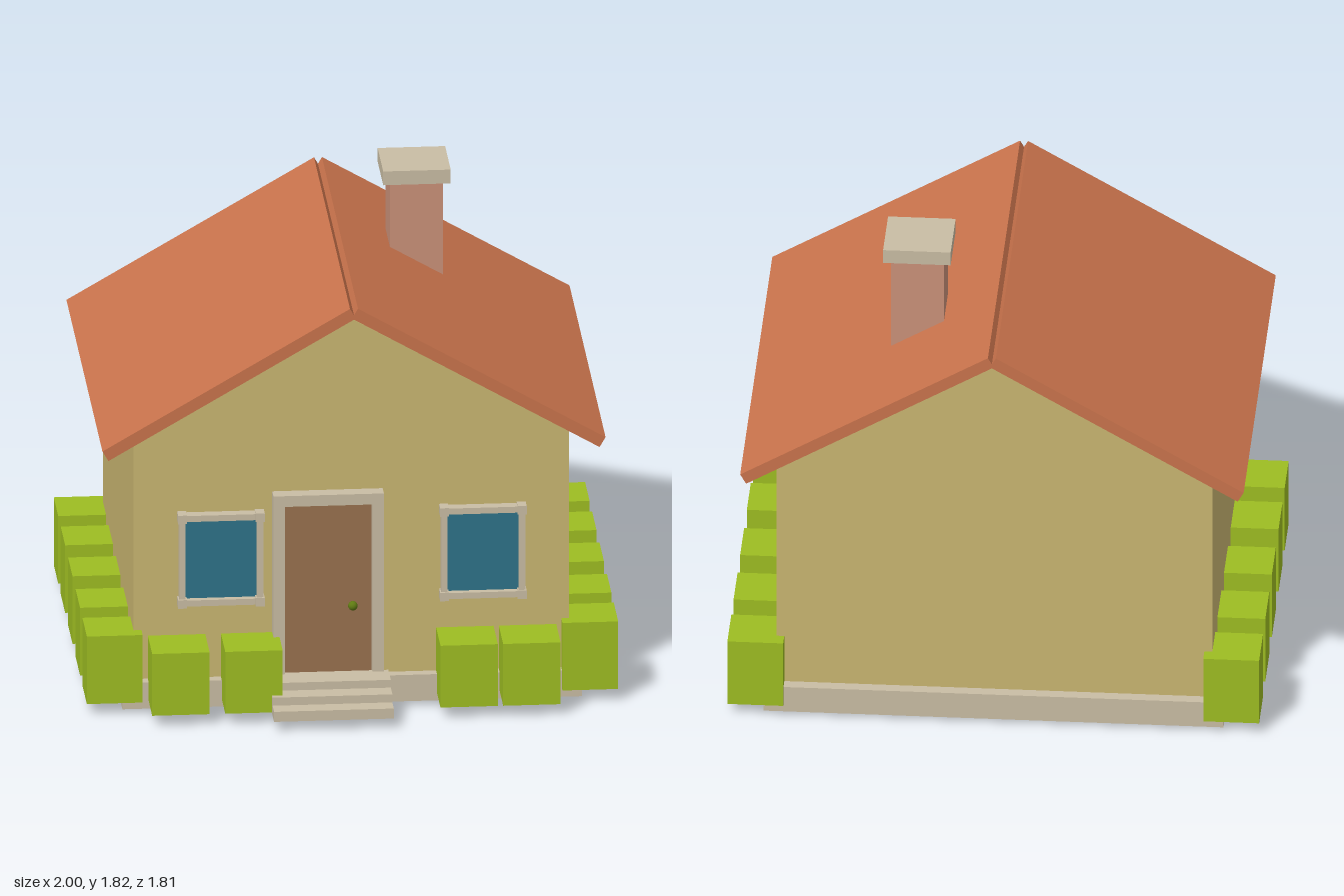
import * as THREE from 'three';

const paint = (name, color) => {
  const m = new THREE.MeshStandardMaterial({ color });
  m.name = name;
  return m;
};

export function createModel() {
  const wallPaint = paint('wall yellow', 0xc9b671);
  const roofPaint = paint('roof terracotta', 0xc9734c);
  const brick = paint('chimney pink', 0xca9179);
  const stone = paint('stone beige', 0xc9bda4);
  const wood = paint('door brown', 0x98714e);
  const glass = paint('window blue', 0x2e7288);
  const leaf = paint('bush green', 0x9dbd22);
  const brass = paint('knob olive', 0x5f7a12);

  const house = new THREE.Group();
  house.name = 'house';

  // Box given by its limits on each axis
  const box = (name, material, [x0, x1], [y0, y1], [z0, z1], parent = house) => {
    const mesh = new THREE.Mesh(new THREE.BoxGeometry(x1 - x0, y1 - y0, z1 - z0), material);
    mesh.position.set((x0 + x1) / 2, (y0 + y1) / 2, (z0 + z1) / 2);
    mesh.name = name;
    parent.add(mesh);
    return mesh;
  };
  const group = (name) => {
    const g = new THREE.Group();
    g.name = name;
    house.add(g);
    return g;
  };

  // Plinth and walls
  box('plinth', stone, [-0.865, 0.865], [0.015, 0.12], [-0.83, 0.655]);
  box('walls', wallPaint, [-0.82, 0.82], [0.012, 1.073], [-0.785, 0.615]);

  // Gable prism on top of the walls
  const triangle = new THREE.Shape([
    new THREE.Vector2(-0.82, 1.073), new THREE.Vector2(0.82, 1.073), new THREE.Vector2(0, 1.535),
  ]);
  const gable = new THREE.Mesh(
    new THREE.ExtrudeGeometry(triangle, { depth: 1.4, bevelEnabled: false }), wallPaint);
  gable.position.z = -0.785;
  gable.name = 'gable';
  house.add(gable);

  // Two roof slabs, each hung from its upper ridge corner
  const pitch = Math.atan2(0.542, 0.932), slabLength = 1.078, slabThickness = 0.045;
  for (const side of [-1, 1]) {
    const slab = new THREE.BoxGeometry(slabLength, slabThickness, 1.645);
    slab.translate(side * slabLength / 2, -slabThickness / 2, 0);
    const roof = new THREE.Mesh(slab, roofPaint);
    roof.position.set(side * 0.015, 1.62, -0.0875);
    roof.rotation.z = -side * pitch;
    roof.name = side < 0 ? 'roofRight' : 'roofLeft';
    house.add(roof);
  }

  // Chimney
  box('chimney', brick, [0.215, 0.415], [1.25, 1.765], [-0.44, -0.235]);
  box('chimneyCap', stone, [0.188, 0.442], [1.76, 1.815], [-0.465, -0.21]);

  // Door, its frame and knob
  box('door', wood, [-0.257, 0.075], [0.12, 0.812], [0.6, 0.632]);
  const frame = group('doorFrame');
  box('doorPostRight', stone, [-0.298, -0.255], [0, 0.855], [0.61, 0.672], frame);
  box('doorPostLeft', stone, [0.075, 0.118], [0, 0.855], [0.61, 0.672], frame);
  box('doorLintel', stone, [-0.255, 0.075], [0.812, 0.855], [0.61, 0.672], frame);
  const knob = new THREE.Mesh(new THREE.SphereGeometry(0.018, 16, 12), brass);
  knob.position.set(0.003, 0.4, 0.647);
  knob.name = 'doorKnob';
  house.add(knob);

  // Three front steps
  const steps = group('steps');
  [[0.08, 0.905], [0.112, 0.838], [0.143, 0.765]].forEach(([top, front], i) =>
    box('step' + (i + 1), stone, [-0.315, 0.136], [i ? top - 0.035 : 0.04, top],
      [i === 0 ? 0.71 : 0.655, front], steps));

  // Front windows: pane, four bars and corner blocks
  for (const side of [-1, 1]) {
    const win = group(side < 0 ? 'windowRight' : 'windowLeft');
    const cx = side * 0.493, cy = 0.6, w = 0.146, h = 0.169;
    box('pane', glass, [cx - w, cx + w], [cy - h, cy + h], [0.61, 0.632], win);
    for (const s of [-1, 1]) {
      const bx = cx + s * w, by = cy + s * h;
      box('upright', stone, [bx - 0.012, bx + 0.012], [cy - h, cy + h], [0.61, 0.657], win);
      box('rail', stone, [cx - w, cx + w], [by - 0.012, by + 0.012], [0.61, 0.657], win);
      for (const t of [-1, 1]) {
        const ty = cy + t * h;
        box('cornerBlock', stone, [bx - 0.017, bx + 0.017], [ty - 0.017, ty + 0.017],
          [0.61, 0.665], win);
      }
    }
  }

  // Plain window on the left wall
  box('sideWindow', glass, [0.81, 0.838], [0.43, 0.8], [-0.195, 0.255]);

  // Bushes along the front and both sides
  const bushes = group('bushes');
  for (const x of [-0.658, -0.383, 0.427, 0.663])
    box('frontBush', leaf, [x - 0.108, x + 0.108], [0.045, 0.292], [0.61, 0.815], bushes);
  for (const side of [-1, 1])
    for (const z of [0.567, 0.255, -0.087, -0.423, -0.74])
      box('sideBush', leaf, [side * 0.895 - 0.105, side * 0.895 + 0.105], [0.045, 0.315],
        [z - 0.102, z + 0.102], bushes);

  return house;
}
